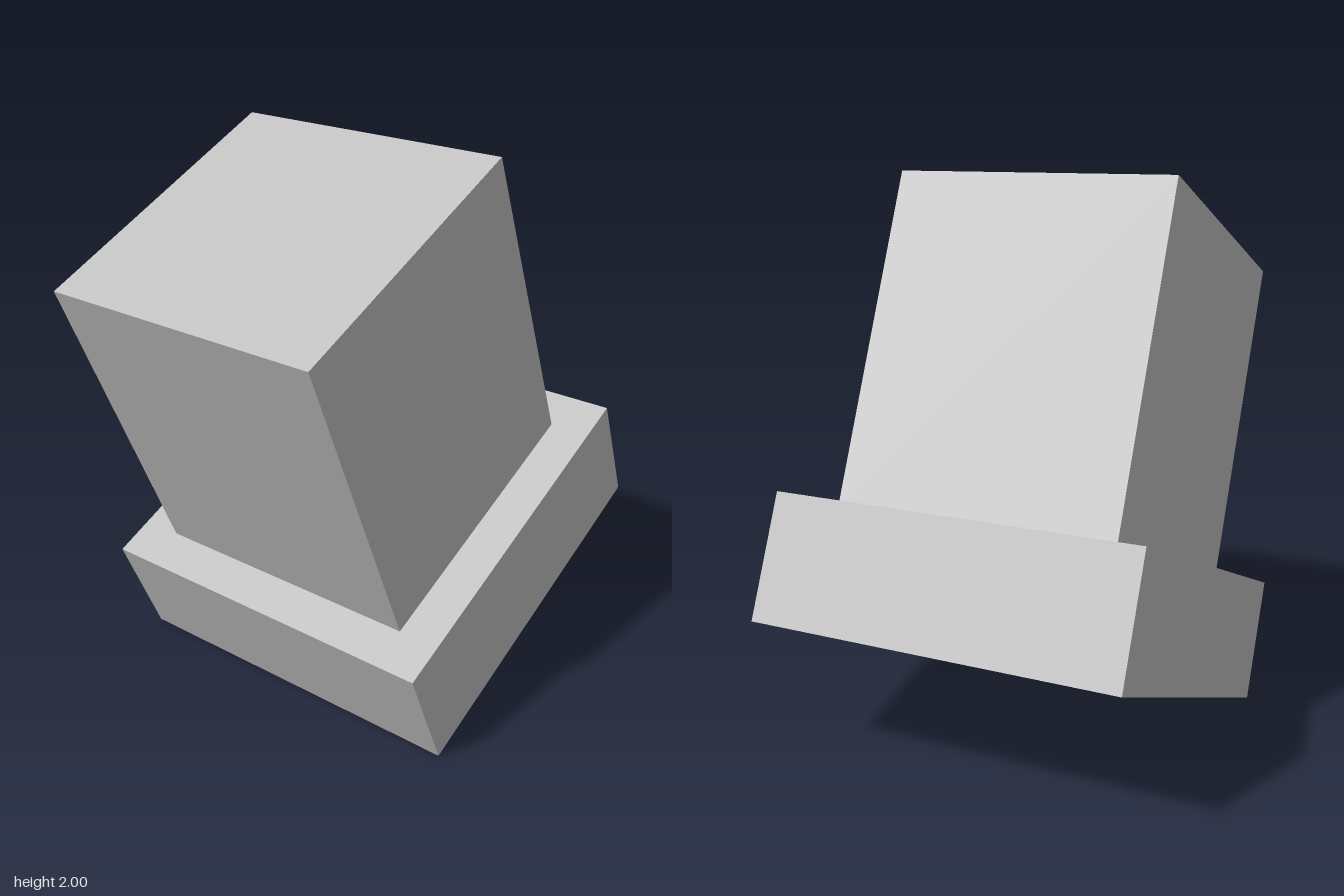
import * as THREE from 'three';

const TILT = Math.PI / 8;
const BASE = { width: 1.364, height: 0.45 };
const BLOCK = { width: 1.056, height: 1.213 };

export function createModel() {
  const grey = new THREE.MeshStandardMaterial({ color: 0xc0c0c0 });
  grey.name = 'grey';

  // Square block standing on a given height
  const block = (name, { width, height }, bottom) => {
    const mesh = new THREE.Mesh(new THREE.BoxGeometry(width, height, width), grey);
    mesh.name = name;
    mesh.position.y = bottom + height / 2;
    return mesh;
  };

  // Both blocks lean forward together, with the base resting on its front lower edge
  const leaning = new THREE.Group();
  leaning.name = 'leaningBlocks';
  leaning.add(block('base', BASE, 0), block('upperBlock', BLOCK, BASE.height));
  leaning.rotation.x = TILT;
  leaning.position.set(0, (BASE.width / 2) * Math.sin(TILT), -0.246);

  const model = new THREE.Group();
  model.name = 'model';
  model.add(leaning);
  return model;
}
